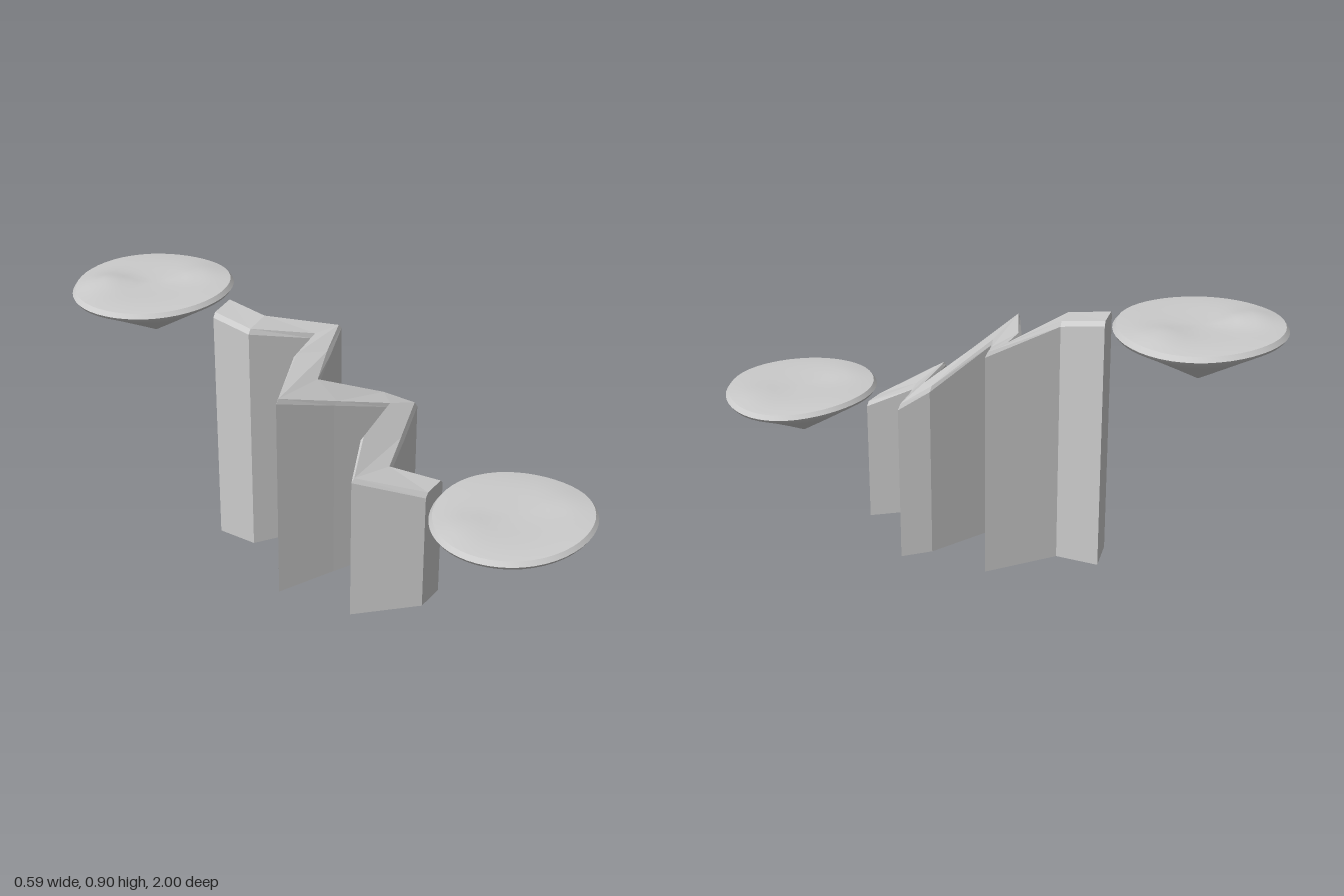
import * as THREE from 'three';
import { toCreasedNormals } from 'three/addons/utils/BufferGeometryUtils.js';

const grey = new THREE.MeshStandardMaterial({ color: 0xcccccc });
const greyFlat = new THREE.MeshStandardMaterial({ color: 0xcccccc, flatShading: true, side: THREE.DoubleSide });

// Floating island: cone underside, thin rim, gently bumpy top
function makeIsland(name, z, tipY, rimY, depth, wave, bumps) {
  const R = 0.295, rise = rimY - tipY;
  const profile = [
    [0, 0], [0.1, rise * 0.34], [0.2, rise * 0.68], [R - 0.008, rise - 0.005], [R, rise + 0.006],
    [R - 0.012, rise + 0.021], [0.24, rise + 0.024], [0.18, rise + 0.024],
    [0.12, rise + 0.022], [0.06, rise + 0.02], [0, rise + 0.02],
  ].map(([r, y]) => new THREE.Vector2(r, y));
  const geo = new THREE.LatheGeometry(profile, 48);
  const p = geo.attributes.position;
  for (let i = 0; i < p.count; i++) {
    const x = p.getX(i), zz = p.getZ(i), r = Math.hypot(x, zz) / R, a = Math.atan2(x, zz);
    let y = p.getY(i) + wave * r * r * (Math.cos(2 * a) + 0.4 * Math.sin(3 * a));
    if (p.getY(i) > rise + 0.01) {
      for (const [bx, bz, h] of bumps) {
        y += h * Math.exp(-((x - bx) ** 2 + (zz - bz) ** 2) / 0.006);
      }
    }
    p.setXYZ(i, x, y, zz * depth / R);
  }
  geo.deleteAttribute('uv');
  const mesh = new THREE.Mesh(toCreasedNormals(geo, 0.5), grey);
  mesh.name = name;
  mesh.position.set(0, tipY, z);
  return mesh;
}

// Zigzag ramp: left and right edge points as [x, y, z], from back to front
const stations = [
  [[-0.063, 0.862, -0.41], [0.07, 0.868, -0.435]],
  [[-0.063, 0.838, -0.26], [0.07, 0.845, -0.285]],
  [[0.135, 0.782, -0.14], [0.27, 0.78, -0.11]],
  [[0, 0.768, -0.12], [0.13, 0.742, -0.06]],
  [[-0.262, 0.735, 0], [-0.01, 0.712, -0.005]],
  [[-0.05, 0.665, 0.08], [0.215, 0.605, 0.115]],
  [[0.15, 0.6, 0.16], [0.29, 0.555, 0.195]],
  [[-0.07, 0.582, 0.2], [0.11, 0.515, 0.255]],
  [[-0.235, 0.522, 0.275], [-0.04, 0.492, 0.305]],
  [[-0.053, 0.435, 0.445], [0.06, 0.44, 0.44]],
];

function makeRamp() {
  const pos = [], idx = [], n = 6, bevel = 0.015;
  for (const [l, r] of stations) {
    const L = new THREE.Vector3(...l), Rt = new THREE.Vector3(...r);
    const t = 0.014 / L.distanceTo(Rt);
    const topL = L.clone().lerp(Rt, t), topR = Rt.clone().lerp(L, t);
    pos.push(L.x, 0, L.z, L.x, L.y - bevel, L.z, ...topL.toArray(),
      ...topR.toArray(), Rt.x, Rt.y - bevel, Rt.z, Rt.x, 0, Rt.z);
  }
  // Side walls, bevels and walkway; the base stays open
  for (let s = 0; s < stations.length - 1; s++) {
    for (let k = 0; k < n - 1; k++) {
      const a = s * n + k, b = a + 1, c = a + n, d = c + 1;
      idx.push(a, c, b, b, c, d);
    }
  }
  // End walls
  const last = (stations.length - 1) * n;
  for (let k = 1; k < n - 1; k++) {
    idx.push(0, k, k + 1);
    idx.push(last, last + k + 1, last + k);
  }
  const geo = new THREE.BufferGeometry();
  geo.setAttribute('position', new THREE.Float32BufferAttribute(pos, 3));
  geo.setIndex(idx);
  const flat = geo.toNonIndexed();
  flat.computeVertexNormals();
  const mesh = new THREE.Mesh(flat, greyFlat);
  mesh.name = 'zigzagRamp';
  return mesh;
}

export function createModel() {
  const group = new THREE.Group();
  group.name = 'islandsWithRamp';
  group.add(
    makeRamp(),
    makeIsland('lowerIsland', 0.739, 0.26, 0.416, 0.261, 0.006,
      [[-0.16, -0.1, 0.008], [0.15, 0.1, 0.006]]),
    makeIsland('upperIsland', -0.727, 0.7, 0.86, 0.273, 0.004,
      [[-0.1, -0.13, 0.02], [0.15, 0.08, 0.013]]),
  );
  return group;
}
